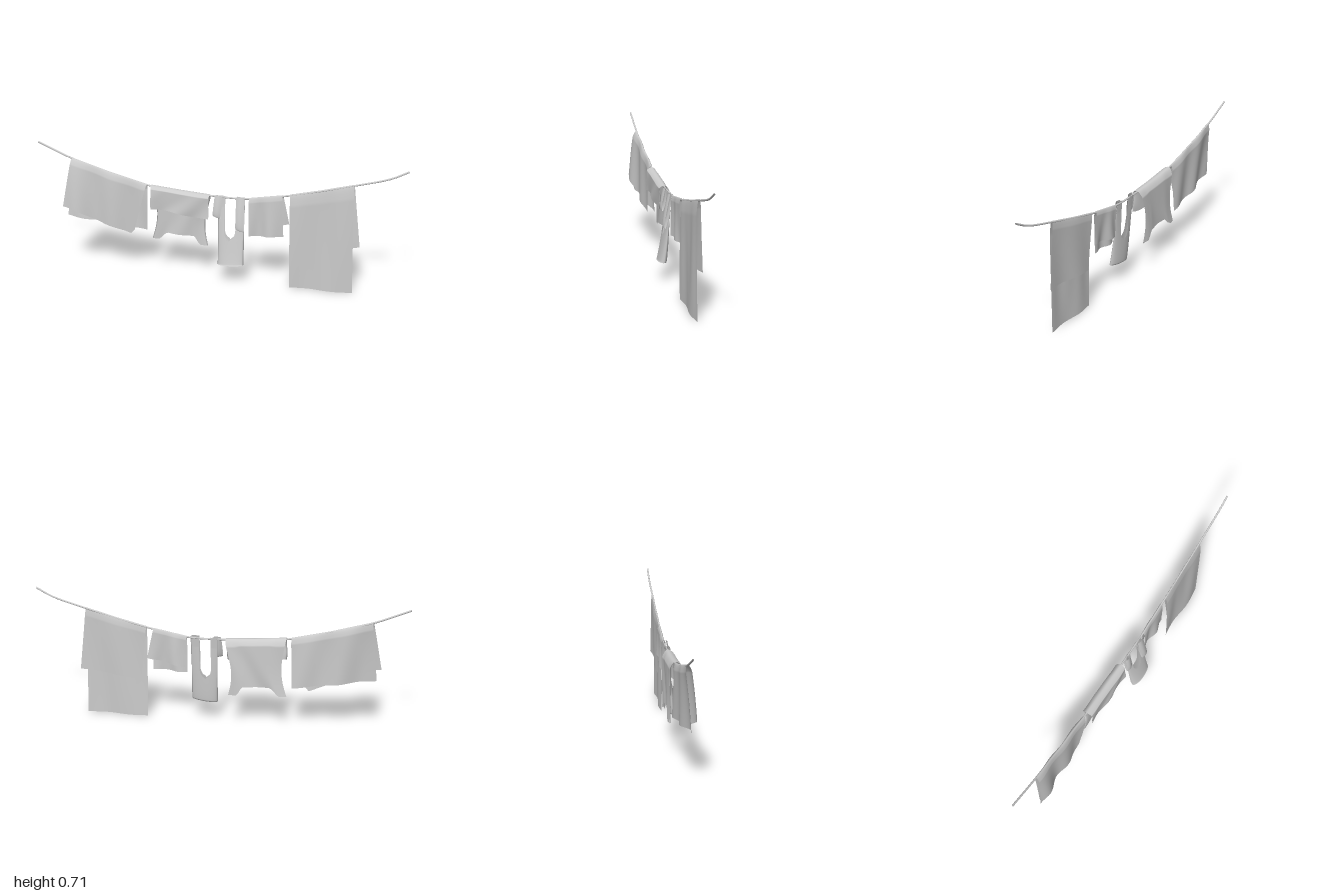
import * as THREE from 'three';
import { ParametricGeometry } from 'three/addons/geometries/ParametricGeometry.js';

const { lerp, smoothstep } = THREE.MathUtils;

// Rope path: [x, y]; z follows a straight slanted line
const ROPE = [[-1, .71], [-.8, .626], [-.6, .566], [-.39, .513], [-.2, .495], [-.03, .483],
  [.17, .483], [.38, .52], [.55, .56], [.72, .605], [.91, .66], [1, .705]];
const ropeZ = x => -.026 - .048 * x;
function ropeY(x) {
  let i = 0;
  while (i < ROPE.length - 2 && x > ROPE[i + 1][0]) i++;
  const [a, b] = [ROPE[i], ROPE[i + 1]];
  return lerp(a[1], b[1], (x - a[0]) / (b[0] - a[0]));
}

export function createModel() {
  const model = new THREE.Group();
  const cloth = new THREE.MeshStandardMaterial({ color: 0xcccccc, side: THREE.DoubleSide });

  function add(name, geometry) {
    const mesh = new THREE.Mesh(geometry, cloth);
    mesh.name = name;
    model.add(mesh);
  }
  const sheet = (name, fn, nu, nv) => add(name, new ParametricGeometry(fn, nu, nv));

  // Cloth hung over the rope. front/back give the lower corners [xl, yl, xr, yr],
  // hem(u, side) shapes the lower edge, waist pulls in the sides, fold shapes z.
  function drape(name, { x0, x1, front, back, gap = () => .012, hem = () => 0, waist = () => 0, fold }) {
    sheet(name, (u, v, p) => {
      const w = 2 * v - 1, side = w < 0 ? 1 : -1;
      const s = Math.abs(w) ** 1.6;
      const [xl, yl, xr, yr] = side > 0 ? front : back;
      const topX = lerp(x0, x1, u), pull = waist(s, side);
      const x = lerp(lerp(x0, xl, s) + pull, lerp(x1, xr, s) - pull, u);
      const top = ropeY(topX) + .006;
      const y = lerp(top, lerp(yl, yr, u) + hem(u, side), s);
      const open = Math.sqrt(Math.min(1, s / .12));
      p.set(x, y, ropeZ(topX) + side * open * gap(u, side) + fold(u, s, side));
    }, 40, 48);
  }

  // Rope
  const path = new THREE.CatmullRomCurve3(ROPE.map(([x, y]) => new THREE.Vector3(x, y, ropeZ(x))));
  add('rope', new THREE.TubeGeometry(path, 60, .005, 8));

  // Wind-blown towel with deep folds
  drape('foldedTowel', {
    x0: -.81, x1: -.39,
    front: [-.86, .36, -.465, .215], back: [-.84, .305, -.4, .242],
    gap: () => .015,
    hem: (u, side) => side > 0 ? .012 * Math.sin(u * 9) * (1 - u) + .03 * smoothstep(u, .94, 1) : 0,
    fold: (u, s, side) => Math.sqrt(s) * .013 * Math.sin(u * 13 - s * 2 + .8) * (1 - .4 * u)
      + s * (1 - u) ** 2 * (side > 0 ? .04 : .046),
  });

  // Sleeveless top folded over the rope upside down: two layers, straps hanging at the back
  const strapHem = (u, side) => side > 0 ? .006 * Math.sin(u * 6)
    : .048 * smoothstep(u, .1, .3) * (1 - smoothstep(u, .74, .87));
  for (const inner of [0, 1]) {
    drape(inner ? 'shirtInnerLayer' : 'shirtOuterLayer', {
      x0: -.365, x1: -.04,
      front: [-.36, .385, -.045, .36], back: [-.375, .195, -.06, .18],
      gap: u => .03 - inner * .018 * Math.sqrt(4 * u * (1 - u)),
      hem: strapHem,
      waist: (s, side) => side < 0 ? .026 * Math.sin(Math.PI * s ** 1.2) : .004 * Math.sin(s * 6),
      fold: (u, s) => .006 * s * Math.sin(u * 10 + s * 3) + .004 * Math.sin(u * 16 + s * 5) * s * (1 - s),
    });
  }

  // Small vest: front and back halves around a round neckline
  const cx = .076;
  const bodyHalf = (face, hand) => (u, v, p) => {
    const outer = cx + hand * .072 + lerp(.008, -.001, v);
    const foot = .112 + .07 * (outer - cx) * u;
    const y = lerp(foot, ropeY(cx) + .004, v);
    const t = Math.min(1, Math.max(0, (y - .252) / .055));
    const neck = cx - .002 + hand * .032 * Math.sqrt(1 - (1 - t) ** 2);
    const x = lerp(neck, outer, u);
    const k = Math.min(1, Math.abs(x - cx) / Math.abs(outer - cx));
    const depth = lerp(.025, .004, Math.min(1, v * 1.2));
    p.set(x, y, lerp(.012, ropeZ(cx), v ** .8) + face * depth * Math.sqrt(1 - k * k));
  };
  for (const face of [1, -1]) for (const hand of [1, -1])
    sheet(`vest${face > 0 ? 'Front' : 'Back'}${hand > 0 ? 'Left' : 'Right'}`, bodyHalf(face, hand), 12, 48);

  // Vest shoulder loops drooping in front of the rope
  for (const [name, xa, xb, low, shift, lean] of [
    ['vestLoopRight', -.012, .03, .365, -.008, .02],
    ['vestLoopLeft', .105, .15, .305, .004, .035]]) {
    sheet(name, (u, v, p) => {
      const s = Math.sin(Math.PI * v), x = lerp(xa, xb, u) + shift * s;
      const top = ropeY(x) + .007;
      p.set(x, lerp(top, low + .015 * (1 - u), s),
        ropeZ(x) + .004 + lean * s + (.007 + .006 * s) * Math.cos(Math.PI * v) + .006 * Math.sin(u * Math.PI));
    }, 8, 28);
  }

  // Hand towel
  drape('handTowel', {
    x0: .172, x1: .352,
    front: [.175, .275, .36, .285], back: [.18, .31, .387, .352],
    gap: () => .01,
    fold: (u, s) => .009 * s * Math.sin(u * 9 + 1.5 + s) + .004 * Math.sin(u * 15) * s * (1 - s),
  });

  // Long bath towel
  drape('bathTowel', {
    x0: .392, x1: .725,
    front: [.4, 0, .738, 0], back: [.425, .22, .765, .26],
    gap: (u, side) => side > 0 ? .012 : .01,
    fold: (u, s, side) => .006 * Math.sqrt(s) * Math.sin(u * 8 + s * 2 + .5)
      + (side > 0 ? .004 * s * (1 - s) * Math.sin(u * 18) : .003 * s),
  });

  return model;
}
